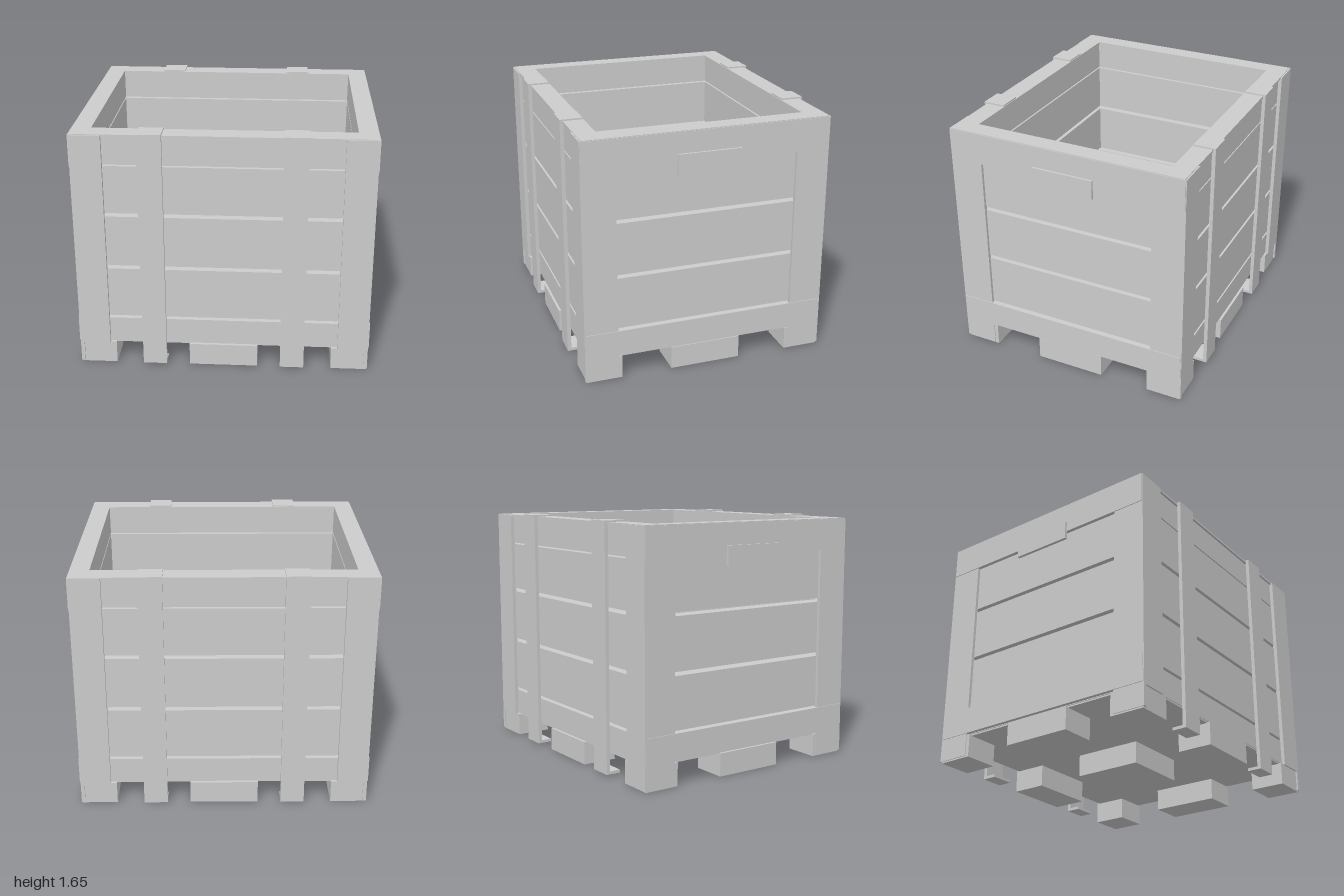
import * as THREE from 'three';

export function createModel() {
  const crate = new THREE.Group();
  crate.name = 'crate';
  const grey = new THREE.MeshStandardMaterial({ color: 0xcccccc });
  grey.name = 'grey wood';

  // Box given by its limits on each axis
  const box = (name, [x0, x1], [y0, y1], [z0, z1]) => {
    const mesh = new THREE.Mesh(new THREE.BoxGeometry(x1 - x0, y1 - y0, z1 - z0), grey);
    mesh.name = name;
    mesh.position.set((x0 + x1) / 2, (y0 + y1) / 2, (z0 + z1) / 2);
    crate.add(mesh);
  };
  // Range mirrored to the positive or negative side
  const side = (s, a, b) => (s > 0 ? [a, b] : [-b, -a]);

  // Wall boards with narrow gaps between them
  const rows = [[0.16, 0.335], [0.355, 0.705], [0.73, 1.08], [1.105, 1.43], [1.44, 1.635]];
  for (const s of [-1, 1]) {
    for (const row of rows) {
      box('endWallBoard', [-0.95, 0.95], row, side(s, 0.69, 0.805));
      box('sideWallBoard', side(s, 0.85, 0.955), row, [-0.69, 0.69]);
    }
  }

  // Floor
  box('floor', [-0.95, 0.95], [0.15, 0.18], [-0.8, 0.8]);

  // Mitred top rim
  const rim = new THREE.Shape([[-0.975, -0.82], [0.975, -0.82], [0.975, 0.82], [-0.975, 0.82]]
    .map(([x, y]) => new THREE.Vector2(x, y)));
  rim.holes.push(new THREE.Path([[-0.85, -0.685], [-0.85, 0.685], [0.85, 0.685], [0.85, -0.685]]
    .map(([x, y]) => new THREE.Vector2(x, y))));
  const rimMesh = new THREE.Mesh(
    new THREE.ExtrudeGeometry(rim, { depth: 0.015, bevelEnabled: false }), grey);
  rimMesh.name = 'topRim';
  rimMesh.rotation.x = -Math.PI / 2;
  rimMesh.position.y = 1.63;
  crate.add(rimMesh);

  for (const sx of [-1, 1]) {
    // Rails and handle plate on each side
    box('sideTopRail', side(sx, 0.95, 0.98), [1.43, 1.64], [-0.825, 0.825]);
    box('sideBottomRail', side(sx, 0.95, 0.98), [0.165, 0.345], [-0.825, 0.825]);
    box('handlePlate', side(sx, 0.975, 0.995), [1.37, 1.5], [-0.21, 0.21]);

    for (const sz of [-1, 1]) {
      // Corner posts made of two planks
      box('endCornerPost', side(sx, 0.77, 0.975), [0.15, 1.64], side(sz, 0.8, 0.83));
      box('sideCornerPost', side(sx, 0.95, 0.975), [0.01, 1.44], side(sz, 0.605, 0.83));

      // Straps folded over the rim and under the base
      const strapX = side(sx, 0.385, 0.545);
      box('strap', strapX, [0.01, 1.655], side(sz, 0.815, 0.84));
      box('strapTopFold', strapX, [1.64, 1.655], side(sz, 0.69, 0.83));
      box('strapFoot', strapX, [0.01, 0.03], side(sz, 0.74, 0.83));
    }
  }

  // Three by three base blocks
  const blockX = [[-0.97, -0.73], [-0.23, 0.23], [0.73, 0.97]];
  const blockZ = [[-0.82, -0.58], [-0.24, 0.24], [0.58, 0.82]];
  for (const x of blockX) for (const z of blockZ) box('baseBlock', x, [0, 0.155], z);

  return crate;
}
